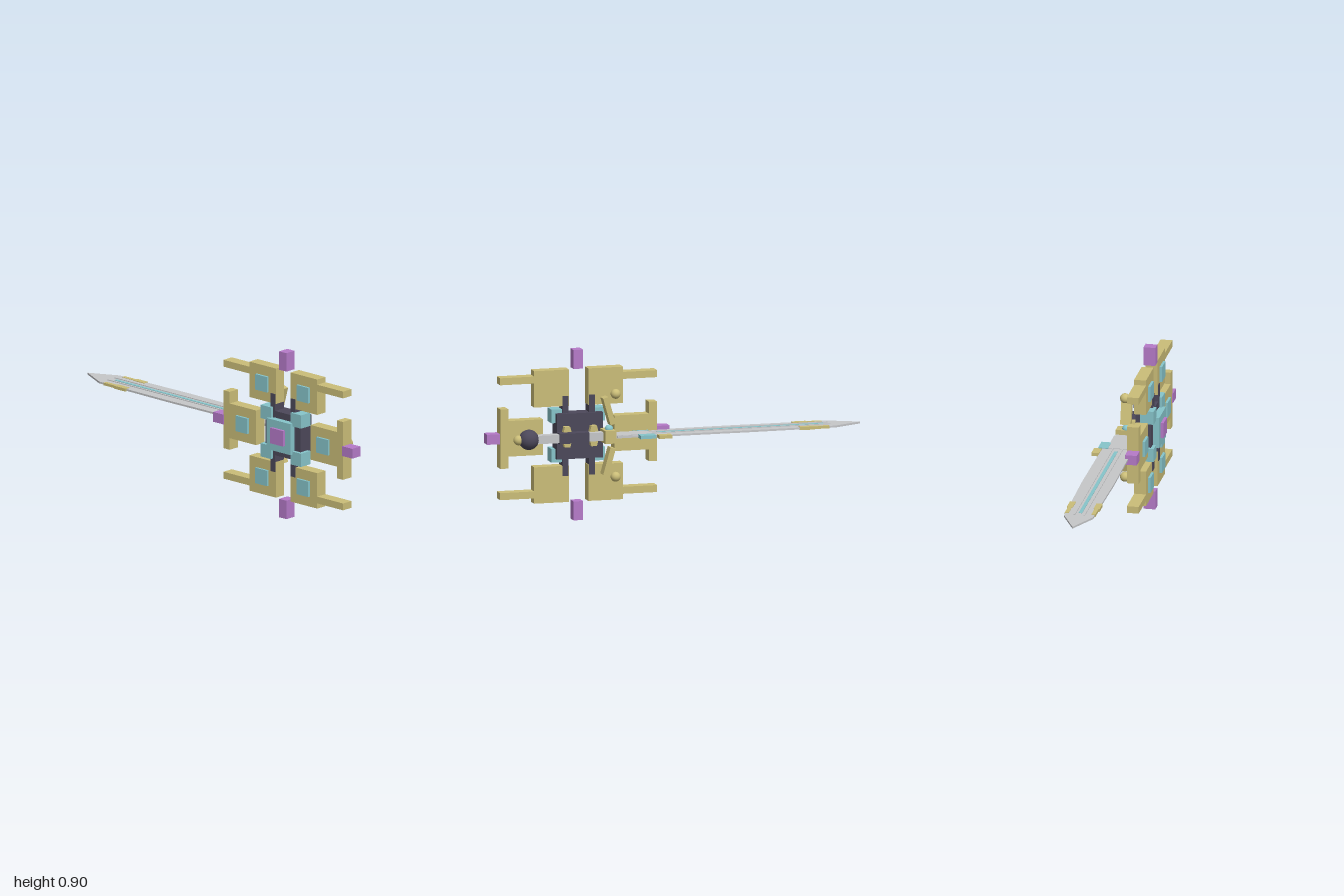
import * as THREE from 'three';

const mat = (name, color) => {
  const m = new THREE.MeshStandardMaterial({ color });
  m.name = name;
  return m;
};

export function createModel() {
  const gold = mat('gold', 0xcabd78);
  const purple = mat('purple', 0xb57ac8);
  const cyan = mat('cyan', 0x86c4ca);
  const dark = mat('dark slate', 0x4c485a);
  const steel = mat('steel', 0xc5c6c8);

  const model = new THREE.Group();
  const shield = new THREE.Group();
  const sword = new THREE.Group();
  shield.name = 'shield';
  sword.name = 'sword';
  model.add(shield, sword);

  const add = (parent, name, geometry, material) => {
    const mesh = new THREE.Mesh(geometry, material);
    mesh.name = name;
    parent.add(mesh);
    return mesh;
  };
  // Box given by its [min, max] range on each axis
  const box = (parent, name, material, [x0, x1], [y0, y1], [z0, z1]) => {
    const mesh = add(parent, name, new THREE.BoxGeometry(x1 - x0, y1 - y0, z1 - z0), material);
    mesh.position.set((x0 + x1) / 2, (y0 + y1) / 2, (z0 + z1) / 2);
    return mesh;
  };
  const ball = (parent, name, material, r, x, y, z) => {
    const mesh = add(parent, name, new THREE.SphereGeometry(r, 24, 16), material);
    mesh.position.set(x, y, z);
    return mesh;
  };

  // ---- Shield: lies in the YZ plane, mirrored about its centre ----
  const CY = 0.45, CZ = 0.506;
  const range = (centre, sign, a, b) =>
    sign > 0 ? [centre + a, centre + b] : [centre - b, centre - a];
  const gx = [-0.098, -0.035], px = [-0.102, -0.04], padX = [-0.111, -0.097];

  for (const sz of [1, -1]) {
    const Z = (a, b) => range(CZ, sz, a, b);
    for (const sy of [1, -1]) {
      const Y = (a, b) => range(CY, sy, a, b);
      box(shield, 'cornerPlate', gold, gx, Y(0.158, 0.35), Z(0.052, 0.241));
      box(shield, 'cornerArm', gold, gx, Y(0.285, 0.322), Z(0.241, 0.425));
      box(shield, 'cornerPad', cyan, padX, Y(0.212, 0.296), Z(0.105, 0.188));
      box(shield, 'hubCube', cyan, [-0.118, -0.045], Y(0.068, 0.14), Z(0.07, 0.144));
    }
    box(shield, 'sidePlate', gold, gx, [CY - 0.094, CY + 0.094], Z(0.193, 0.381));
    box(shield, 'sideBar', gold, gx, [CY - 0.157, CY + 0.157], Z(0.381, 0.424));
    box(shield, 'sidePad', cyan, padX, [CY - 0.042, CY + 0.042], Z(0.245, 0.329));
    box(shield, 'sideTip', purple, px, [CY - 0.027, CY + 0.026], Z(0.42, 0.494));
    box(shield, 'hubBar', dark, [-0.103, -0.032], [CY - 0.211, CY + 0.211], Z(0.056, 0.088));
  }
  for (const sy of [1, -1])
    box(shield, 'verticalTip', purple, px, range(CY, sy, 0.35, 0.45), [CZ - 0.026, CZ + 0.026]);

  box(shield, 'hubPlate', dark, [-0.1, -0.017], [CY - 0.12, CY + 0.12], [0.38, 0.63]);
  box(shield, 'hubPanel', cyan, [-0.135, -0.1], [CY - 0.084, CY + 0.084], [CZ - 0.084, CZ + 0.084]);
  box(shield, 'hubGem', purple, [-0.15, -0.134], [CY - 0.042, CY + 0.042], [CZ - 0.045, CZ + 0.045]);

  // ---- Sword: runs along Z beside the shield ----
  const SX = 0.026, SY = 0.451;
  const square = (h, c) => [c - h, c + h];

  // Handle
  ball(sword, 'pommel', dark, 0.053, SX, SY, 0.794);
  ball(sword, 'pommelCap', gold, 0.026, SX, SY, 0.85);
  box(sword, 'gripCore', steel, square(0.022, SX), square(0.022, SY), [0.38, 0.75]);
  box(sword, 'gripWrap', dark, square(0.027, SX), square(0.027, SY), [0.473, 0.634]);

  // Clips that hold the grip to the shield, narrower at their outer ends
  const clipShape = new THREE.Shape([
    [-0.015, -0.054], [0.015, -0.054], [0.022, -0.025], [0.022, 0.025],
    [0.015, 0.054], [-0.015, 0.054], [-0.022, 0.025], [-0.022, -0.025],
  ].map(p => new THREE.Vector2(...p)));
  for (const z of [0.58, 0.436]) {
    const geo = new THREE.ExtrudeGeometry(clipShape, { depth: 0.032, bevelEnabled: false });
    const clip = add(sword, 'gripClip', geo.rotateY(Math.PI / 2), gold);
    clip.position.set(-0.018, SY, z);
  }

  // Crossguard with tilted arms and ball ends
  box(sword, 'guardCore', gold, [-0.026, 0.078], square(0.034, SY), [0.335, 0.395]);
  for (const s of [1, -1]) {
    const arm = add(sword, 'guardArm', new THREE.BoxGeometry(0.056, 0.148, 0.029), gold);
    arm.position.set(SX, SY + s * 0.134, 0.365);
    arm.rotation.x = s * 0.275;
    ball(sword, 'guardBall', gold, 0.026, SX, SY + s * 0.219, 0.324);
  }
  ball(sword, 'guardGem', cyan, 0.022, SX, SY + 0.036, 0.36);

  // Blade: half outline (half width, z) mirrored about its axis
  const half = [[0.058, 0.33], [0.058, 0.2], [0.08, 0.14], [0.085, -0.36], [0.077, -0.845]];
  const outline = [
    ...half.map(([w, z]) => new THREE.Vector2(w, -z)),
    new THREE.Vector2(0, 1),
    ...half.map(([w, z]) => new THREE.Vector2(-w, -z)).reverse(),
  ];
  const bladeGeo = new THREE.ExtrudeGeometry(new THREE.Shape(outline), { depth: 0.01, bevelEnabled: false });
  bladeGeo.translate(0, 0, -0.005).rotateX(-Math.PI / 2);
  add(sword, 'blade', bladeGeo, steel).position.set(SX, SY, 0);
  box(sword, 'bladeRoot', steel, square(0.05, SX), square(0.008, SY), [0.14, 0.34]);
  box(sword, 'bladeLine', cyan, square(0.009, SX), square(0.0075, SY), [-0.8, 0.1]);

  // Rails, edge guards and fins on both sides of the blade
  for (const s of [1, -1]) {
    const X = (a, b) => range(SX, s, a, b);
    box(sword, 'bladeRail', steel, X(0.022, 0.03), square(0.009, SY), [-0.83, 0.14]);
    box(sword, 'edgeGuardFront', gold, X(0.06, 0.081), square(0.007, SY), [-0.81, -0.73]);
    box(sword, 'edgeGuardRear', gold, X(0.055, 0.087), square(0.008, SY), [-0.73, -0.65]);
    box(sword, 'rootFin', cyan, X(0.05, 0.102), square(0.009, SY), [0.132, 0.217]);
    box(sword, 'edgeFin', gold, X(0.08, 0.121), square(0.009, SY), [0.052, 0.122]);
  }
  return model;
}
